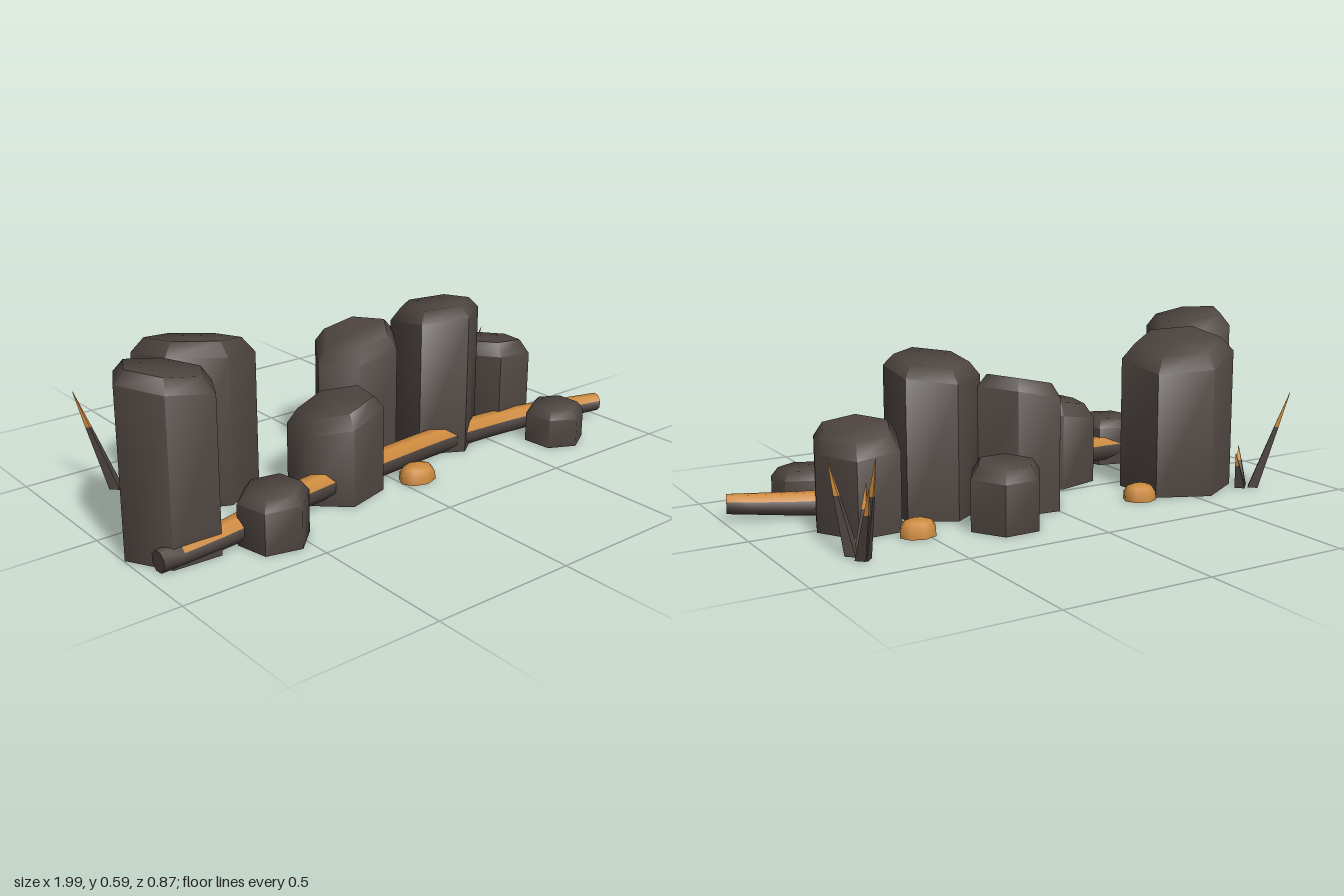
import * as THREE from 'three';
import { toCreasedNormals } from 'three/addons/utils/BufferGeometryUtils.js';

function material(name, color) {
  const m = new THREE.MeshStandardMaterial({ color });
  m.name = name;
  return m;
}
const rock = material('dark stone', 0x4d4440);
const amber = material('amber', 0xcc8a3e);
const maroon = material('dark maroon', 0x5c1a11);

function add(parent, name, geometry, mat) {
  const mesh = new THREE.Mesh(geometry, mat);
  mesh.name = name;
  parent.add(mesh);
  return mesh;
}

// Six-sided stone column with a bevelled, tilted top
function column({ x, z, rx, rz = rx, turn, h, drop = 0.05, tilt = [0, 0] }, seed) {
  const geo = new THREE.CylinderGeometry(1, 1, 1, 6, 2);
  const p = geo.attributes.position;
  for (let i = 0; i < p.count; i++) {
    const level = p.getY(i);
    const a = Math.atan2(p.getZ(i), p.getX(i)) + THREE.MathUtils.degToRad(turn - 30);
    const wobble = 1 + 0.03 * Math.sin(2 * a + seed * 1.7);
    const r = Math.hypot(p.getX(i), p.getZ(i)) * wobble * (level > 0.1 ? 0.78 : 1);
    const dx = r * rx * Math.cos(a), dz = r * rz * Math.sin(a);
    let y = 0;
    if (level > -0.1) y = h + tilt[0] * dx + tilt[1] * dz - (level > 0.1 ? 0 : drop);
    p.setXYZ(i, x + dx, y, z + dz);
  }
  return toCreasedNormals(geo, Math.PI / 3);
}

// Fallen log: rings along a curve, upper faces amber, the rest dark
function logGeometry() {
  const curve = new THREE.CatmullRomCurve3([
    [-0.955, 0.036, 0.295], [-0.7, 0.05, 0.285], [-0.4, 0.068, 0.24], [0, 0.06, 0.185],
    [0.3, 0.046, 0.14], [0.5, 0.04, 0.135], [0.7, 0.043, 0.16], [0.985, 0.058, 0.25],
  ].map(v => new THREE.Vector3(...v)));
  const rings = 28, sides = 8, pos = [], dark = [], bright = [];
  const up = new THREE.Vector3(0, 1, 0);
  for (let i = 0; i <= rings; i++) {
    const t = i / rings;
    const c = curve.getPointAt(t);
    const side = curve.getTangentAt(t).cross(up).normalize();
    const r = Math.min(0.047, 0.036 + 0.06 * t, 0.033 + 0.06 * (1 - t));
    for (let j = 0; j < sides; j++) {
      const a = ((j + 0.5) / sides) * Math.PI * 2;
      pos.push(c.x + side.x * r * Math.cos(a), Math.max(0, c.y + r * Math.sin(a)), c.z + side.z * r * Math.cos(a));
    }
  }
  for (let i = 0; i < rings; i++) {
    for (let j = 0; j < sides; j++) {
      const k = (j + 1) % sides;
      const a = i * sides + j, b = i * sides + k, c = a + sides, d = b + sides;
      (j < 3 && i > 0 ? bright : dark).push(a, c, b, b, c, d);
    }
  }
  for (let j = 1; j < sides - 1; j++) {
    const e = rings * sides;
    dark.push(0, j, j + 1, e, e + j + 1, e + j);
  }
  const geo = new THREE.BufferGeometry();
  geo.setAttribute('position', new THREE.Float32BufferAttribute(pos, 3));
  geo.setIndex([...dark, ...bright]);
  geo.addGroup(0, dark.length, 0);
  geo.addGroup(dark.length, bright.length, 1);
  return toCreasedNormals(geo, Math.PI / 3);
}

// Thin spike sheared from its base to its tip, so the foot stays flat
function spike(parent, base, tip) {
  const split = 0.64, r = 0.025, neck = 0.011;
  const shear = new THREE.Matrix4().makeBasis(
    new THREE.Vector3(1, 0, 0), new THREE.Vector3().subVectors(tip, base), new THREE.Vector3(0, 0, 1),
  ).setPosition(base);
  const piece = (name, r0, r1, y0, y1, mat) => {
    const geo = new THREE.CylinderGeometry(r1, r0, y1 - y0, 4).translate(0, (y0 + y1) / 2, 0);
    add(parent, name, toCreasedNormals(geo.applyMatrix4(shear), 0.5), mat);
  };
  piece('spikeStem', r, neck, 0, split, rock);
  piece('spikeTip', neck, 0.001, split, 1, amber);
}

export function createModel() {
  const model = new THREE.Group();
  model.name = 'rockOutcrop';

  // Stone columns
  const columns = [
    { x: -0.835, z: 0.17, rx: 0.162, rz: 0.168, turn: 0, h: 0.57, drop: 0.045, tilt: [-0.17, 0.02] },
    { x: -0.545, z: -0.14, rx: 0.197, turn: 27, h: 0.525, drop: 0.05, tilt: [-0.15, 0.16] },
    { x: -0.568, z: 0.325, rx: 0.12, rz: 0.115, turn: 16, h: 0.174, drop: 0.033, tilt: [0.03, 0] },
    { x: -0.202, z: 0.16, rx: 0.165, rz: 0.148, turn: -17, h: 0.31, drop: 0.045, tilt: [0.2, 0.05] },
    { x: 0.07, z: -0.075, rx: 0.155, rz: 0.155, turn: 3, h: 0.435, drop: 0.045, tilt: [0.22, -0.08] },
    { x: 0.24, z: -0.268, rx: 0.125, turn: 0, h: 0.212, drop: 0.04, tilt: [0, 0.05] },
    { x: 0.348, z: 0.025, rx: 0.163, rz: 0.167, turn: 28, h: 0.515, drop: 0.04, tilt: [0.05, 0.14] },
    { x: 0.638, z: -0.01, rx: 0.15, rz: 0.17, turn: -4, h: 0.32, drop: 0.05, tilt: [-0.1, 0.11] },
    { x: 0.697, z: 0.303, rx: 0.106, turn: 27, h: 0.135, drop: 0.03, tilt: [0, -0.02] },
  ];
  columns.forEach((c, i) => add(model, 'stoneColumn' + (i + 1), column(c, i), rock));

  add(model, 'fallenLog', logGeometry(), [rock, amber]);

  // Low domes with dark undersides
  const profile = [[1, 0], [0.97, 0.5], [0.75, 0.85], [0.4, 0.98], [0, 1]].map(v => new THREE.Vector2(...v));
  for (const [x, z, r] of [[-0.32, -0.23, 0.06], [0.525, -0.212, 0.063], [0.065, 0.267, 0.069]]) {
    const dome = new THREE.Group();
    dome.name = 'dome';
    dome.position.set(x, 0, z);
    dome.scale.set(r, 0.055, 0.054);
    add(dome, 'domeCap', new THREE.LatheGeometry(profile, 8), amber);
    add(dome, 'domeUnderside', new THREE.CircleGeometry(1, 8).rotateX(Math.PI / 2), maroon);
    model.add(dome);
  }

  // Spike clumps: base centre and tips
  const clumps = [
    { base: [0.77, -0.315], tips: [[0.82, 0.275, -0.215], [0.765, 0.32, -0.435], [0.785, 0.235, -0.43], [0.71, 0.2, -0.24]] },
    { base: [-0.735, -0.285], tips: [[-0.865, 0.345, -0.375], [-0.78, 0.13, -0.21], [-0.69, 0.13, -0.3]] },
  ];
  for (const { base, tips } of clumps) {
    const clump = new THREE.Group();
    clump.name = 'spikeClump';
    for (const t of tips) {
      const tip = new THREE.Vector3(...t);
      const foot = new THREE.Vector3(base[0], 0, base[1]);
      foot.x += (tip.x - foot.x) * 0.25;
      foot.z += (tip.z - foot.z) * 0.25;
      spike(clump, foot, tip);
    }
    model.add(clump);
  }
  return model;
}
